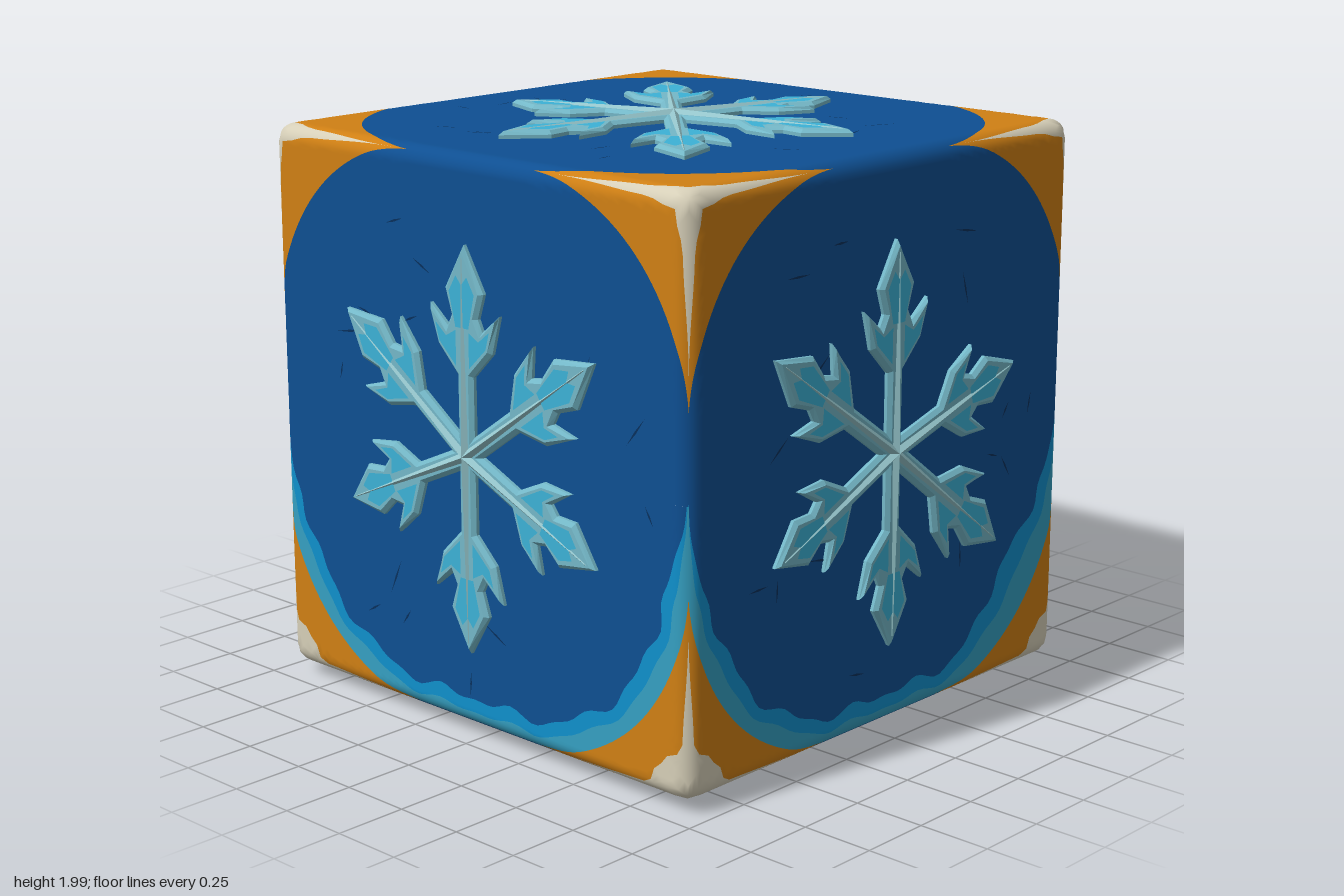
import * as THREE from 'three';

const H = 0.955, ROUND = 0.06, STEPS = 192;
const mat = (name, color) => new THREE.MeshStandardMaterial({ name, color });
const M = {
  blue: mat('deep blue', 0x0e4f92),
  navy: mat('crack navy', 0x08305c),
  cyan: mat('bright cyan', 0x0f90cc),
  teal: mat('frost teal', 0x35a0c2),
  orange: mat('orange', 0xd08014),
  cream: mat('worn cream', 0xd6cfb8),
  ice: mat('ice', 0x74b8c8),
  iceBright: mat('bright ice', 0x3cb2d6),
  icePale: mat('pale ice', 0x96c6cc),
};

function mesh(name, geometry, material, parent) {
  const m = new THREE.Mesh(geometry, material);
  m.name = name;
  parent.add(m);
  return m;
}

const smooth = THREE.MathUtils.smoothstep;

// Radii around a face: square edge, and the squarish painted panel
const edge = a => H / Math.max(Math.abs(Math.cos(a)), Math.abs(Math.sin(a)));
const panel = a => Math.min(edge(a),
  0.975 * (Math.abs(Math.cos(a)) ** 2.5 + Math.abs(Math.sin(a)) ** 2.5) ** -0.4);

// Worn corner wear, wider at the lower corners of upright faces
const wear = upright => a => {
  const c = Math.abs(Math.cos(a)), s = Math.abs(Math.sin(a));
  const t = Math.min(c, s) / Math.max(c, s);
  const tip = upright && Math.sin(a) < 0 ? 0.09 : 0.03;
  const w = 0.03 * smooth(t, 0.4, 0.85) + tip * smooth(t, 0.82, 1);
  return Math.max(panel(a), edge(a) * (1 - w));
};

// Frost crescent thickness along the lower rim
const frost = bump => a => {
  const d = a * 180 / Math.PI;
  const fade = smooth(d, 178, 212) * (1 - smooth(d, 335, 366));
  const heap = bump * Math.exp(-(((d - 318) / 16) ** 2));
  return fade * (0.105 + heap + 0.012 * Math.sin(a * 17) + 0.008 * Math.sin(a * 31));
};

// Ring strip between two radii, wrapped on a rounded cube face
function strip(inner, outer, n) {
  const pos = [], nor = [], idx = [];
  const p = new THREE.Vector3(), core = new THREE.Vector3(), k = H - ROUND;
  for (let i = 0; i <= STEPS; i++) {
    const a = i / STEPS * Math.PI * 2;
    for (let j = 0; j <= n; j++) {
      const r = THREE.MathUtils.lerp(inner(a), outer(a), j / n);
      p.set(r * Math.cos(a), r * Math.sin(a), H);
      core.copy(p).clampScalar(-k, k);
      p.sub(core).normalize();
      nor.push(p.x, p.y, p.z);
      p.multiplyScalar(ROUND).add(core);
      pos.push(p.x, p.y, p.z);
    }
    if (i === STEPS) continue;
    const a2 = (i + 1) / STEPS * Math.PI * 2;
    if (outer(a) - inner(a) < 1e-5 && outer(a2) - inner(a2) < 1e-5) continue;
    for (let j = 0; j < n; j++) {
      const q = i * (n + 1) + j, w = q + n + 1;
      idx.push(q, q + 1, w + 1, q, w + 1, w);
    }
  }
  const g = new THREE.BufferGeometry();
  g.setAttribute('position', new THREE.Float32BufferAttribute(pos, 3));
  g.setAttribute('normal', new THREE.Float32BufferAttribute(nor, 3));
  g.setIndex(idx);
  return g;
}

const shape = pts => new THREE.Shape(pts.map(([x, y]) => new THREE.Vector2(x, y)));
const flip = pts => pts.map(([x, y]) => [-x, y]).reverse();

// One snowflake arm pointing up, 0.7 long
const half = [[0.036, -0.02], [0.036, 0.27], [0.125, 0.36], [0.16, 0.49],
  [0.08, 0.425], [0.06, 0.465], [0.088, 0.55]];
const armGeo = new THREE.ExtrudeGeometry(shape([...half, [0, 0.7], ...flip(half)]), {
  depth: 0.012, bevelThickness: 0.012, bevelSize: 0.014, bevelOffset: -0.014, bevelSegments: 1,
});
const barb = [[0.03, 0.3], [0.108, 0.375], [0.125, 0.435], [0.075, 0.395], [0.03, 0.42]];
const headGeo = new THREE.ShapeGeometry(shape([[0.03, 0.43], [0.058, 0.545], [0.025, 0.6],
  [0, 0.57], [-0.025, 0.6], [-0.058, 0.545], [-0.03, 0.43]]));
const barbGeos = [barb, flip(barb)].map(b => new THREE.ShapeGeometry(shape(b)));
const ridgeGeo = new THREE.CylinderGeometry(0.004, 0.018, 0.66, 4).toNonIndexed();
ridgeGeo.computeVertexNormals();

function snowflake(arms) {
  const flake = new THREE.Group();
  flake.name = 'snowflake';
  for (const [deg, len] of arms) {
    const arm = new THREE.Group();
    arm.name = 'snowflakeArm';
    arm.rotation.z = (deg - 90) * Math.PI / 180;
    arm.scale.y = len / 0.7;
    mesh('armBody', armGeo, M.ice, arm);
    mesh('armHeadInlay', headGeo, M.iceBright, arm).position.z = 0.026;
    barbGeos.forEach(g => { mesh('armBarbInlay', g, M.iceBright, arm).position.z = 0.026; });
    mesh('armRidge', ridgeGeo, M.icePale, arm).position.set(0, 0.33, 0.022);
    flake.add(arm);
  }
  return flake;
}

// Small repeatable random for the scratches
function seeded(seed) {
  return () => (seed = (seed * 16807) % 2147483647) / 2147483647;
}

function scratches(seed) {
  const rnd = seeded(seed), pos = [];
  for (let i = 0; i < 16; i++) {
    const a = rnd() * Math.PI * 2, r = 0.45 + rnd() * 0.38, t = rnd() * Math.PI;
    const l = 0.03 + rnd() * 0.04, w = 0.004;
    const x = r * Math.cos(a), y = r * Math.sin(a), c = Math.cos(t), s = Math.sin(t);
    pos.push(x - l * c, y - l * s, 0, x + w * s, y - w * c, 0, x + l * c, y + l * s, 0);
    pos.push(x - l * c, y - l * s, 0, x + l * c, y + l * s, 0, x - w * s, y + w * c, 0);
  }
  const g = new THREE.BufferGeometry();
  g.setAttribute('position', new THREE.Float32BufferAttribute(pos, 3));
  g.computeVertexNormals();
  return g;
}

function face(name, { upright, bump = 0, arms, cy = 0, seed }) {
  const f = new THREE.Group();
  f.name = name;
  const thick = upright ? frost(bump) : () => 0;
  const b1 = a => panel(a) - thick(a), b2 = a => panel(a) - thick(a) * 0.55;
  const worn = wear(upright);
  mesh('panelCentre', strip(() => 0, a => b1(a) * 0.75, 1), M.blue, f);
  mesh('panelRim', strip(a => b1(a) * 0.75, b1, 12), M.blue, f);
  if (upright) {
    mesh('frostInner', strip(b1, b2, 4), M.cyan, f);
    mesh('frostOuter', strip(b2, panel, 4), M.teal, f);
  }
  mesh('cornerPaint', strip(panel, worn, 6), M.orange, f);
  mesh('cornerWear', strip(worn, edge, 5), M.cream, f);
  mesh('scratches', scratches(seed), M.navy, f).position.z = H + 0.002;
  const flake = snowflake(arms);
  flake.position.set(0, cy, H);
  f.add(flake);
  return f;
}

export function createModel() {
  const cube = new THREE.Group();
  cube.name = 'snowflakeCube';
  const skewed = [[90, 0.7], [16.5, 0.67], [-37, 0.72], [-90, 0.66], [204, 0.63], [145, 0.71]];
  const even = [[90, 0.69], [35, 0.7], [-24, 0.63], [-90, 0.67], [204, 0.63], [145, 0.7]];
  const top = [[103, 0.65], [45, 0.79], [-10, 0.69], [-78, 0.68], [225.5, 0.8], [168, 0.69]];
  const bottom = [0, 1, 2, 3, 4, 5].map(i => [i * 60 - 50, 0.67]);
  const q = Math.PI / 2;
  const faces = [
    ['frontFace', 0, 0, { upright: true, bump: 0.1, arms: skewed, cy: -0.02, seed: 11 }],
    ['leftFace', 0, q, { upright: true, arms: even, cy: -0.02, seed: 222 }],
    ['backFace', 0, 2 * q, { upright: true, arms: skewed, cy: -0.02, seed: 3333 }],
    ['rightFace', 0, -q, { upright: true, arms: even, cy: -0.02, seed: 44444 }],
    ['topFace', -q, 0, { upright: false, arms: top, seed: 55555 }],
    ['bottomFace', q, 0, { upright: false, arms: bottom, seed: 666666 }],
  ];
  for (const [name, rx, ry, options] of faces) {
    const f = face(name, options);
    f.rotation.set(rx, ry, 0);
    f.position.y = 1;
    cube.add(f);
  }
  return cube;
}
